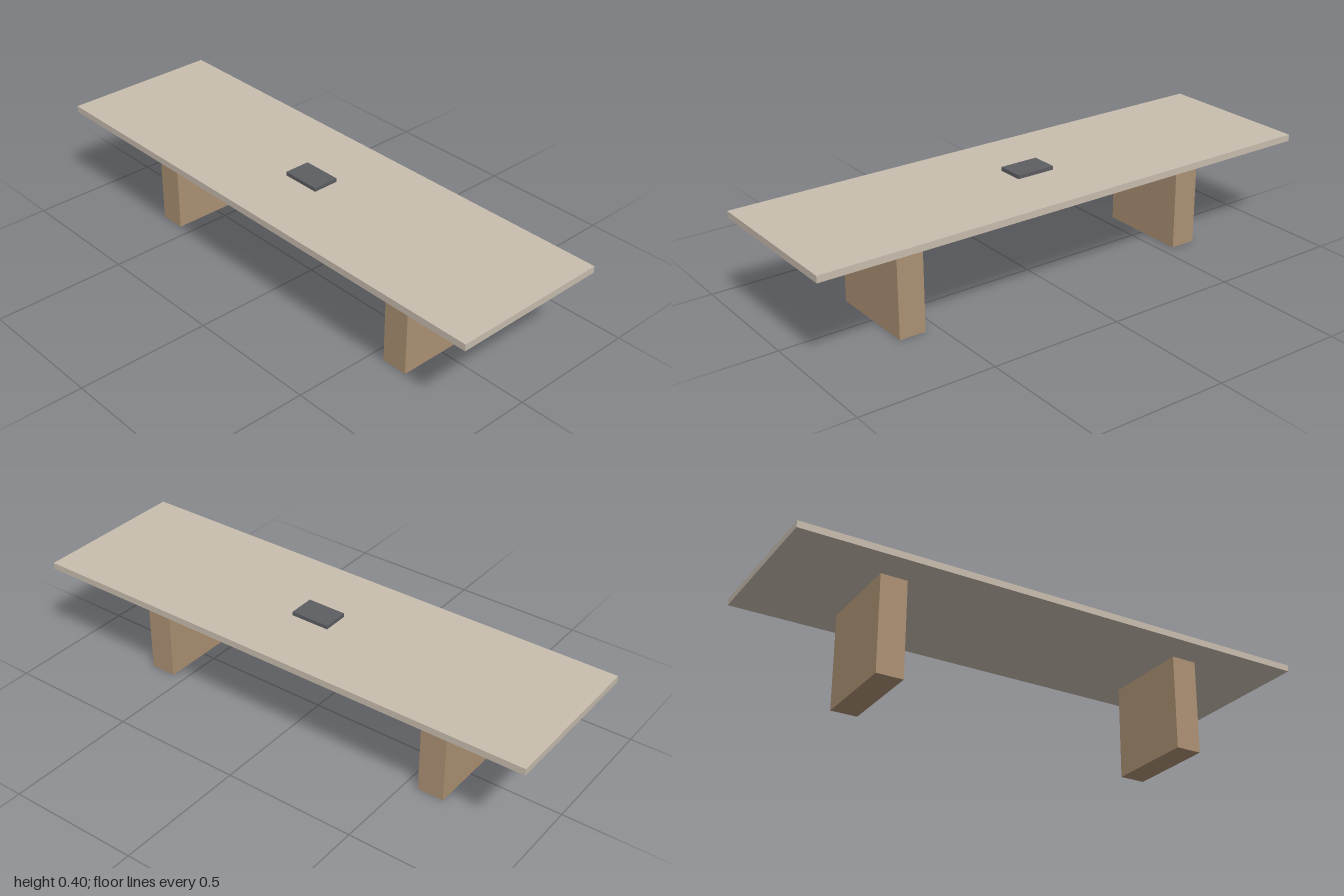
import * as THREE from 'three';

function flatMaterial(name, color) {
  const material = new THREE.MeshStandardMaterial({ color });
  material.name = name;
  return material;
}

export function createModel() {
  const group = new THREE.Group();
  group.name = 'conferenceTable';

  const stone = flatMaterial('pale stone', 0xc9beaf);
  const wood = flatMaterial('warm wood', 0xad9274);
  const charcoal = flatMaterial('charcoal', 0x5d5e62);

  // Box spanning y0 to y1, centred on x and z = 0
  function block(name, material, width, depth, y0, y1, x = 0) {
    const mesh = new THREE.Mesh(new THREE.BoxGeometry(width, y1 - y0, depth), material);
    mesh.name = name;
    mesh.position.set(x, (y0 + y1) / 2, 0);
    group.add(mesh);
  }

  const underside = 0.362;
  const surface = 0.387;

  // Long slab top
  block('tableTop', stone, 2, 0.6, underside, surface);

  // Mirrored panel legs
  for (const side of [-1, 1]) {
    block(side > 0 ? 'leftLeg' : 'rightLeg', wood, 0.1, 0.35, 0, underside, side * 0.6);
  }

  // Small pad in the middle of the top
  block('centrePad', charcoal, 0.15, 0.1, surface, 0.401);

  return group;
}
